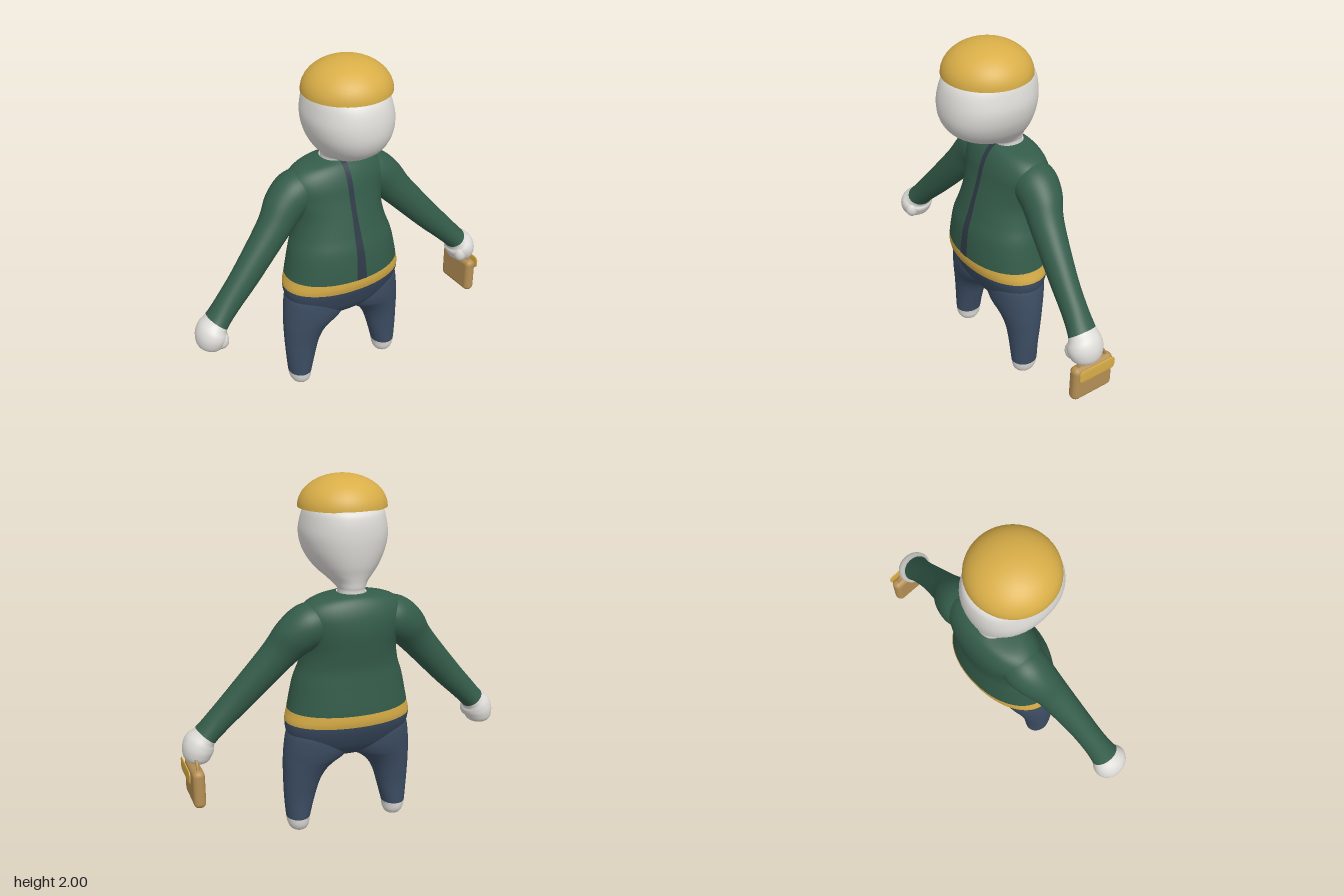
import * as THREE from 'three';
import { RoundedBoxGeometry } from 'three/addons/geometries/RoundedBoxGeometry.js';

const paint = (name, color) => {
  const m = new THREE.MeshStandardMaterial({ color });
  m.name = name;
  return m;
};

// Smooth curve through rows of numbers; the last number of a row is its material index.
function smooth(rows, steps = 6) {
  const out = [];
  const at = i => rows[Math.min(Math.max(i, 0), rows.length - 1)];
  for (let i = 0; i < rows.length - 1; i++) {
    for (let s = 0; s < steps; s++) {
      const t = s / steps;
      out.push(rows[i].map((b, k) => {
        if (k === rows[i].length - 1) return b;
        const a = at(i - 1)[k], c = at(i + 1)[k], d = at(i + 2)[k];
        return b + 0.5 * t * (c - a + t * (2 * a - 5 * b + 4 * c - d + t * (3 * (b - c) + d - a)));
      }));
    }
  }
  out.push(rows[rows.length - 1]);
  return out;
}

// Skin over rings { c: centre, u, v: half axes, m: material index }.
function loft(name, rings, materials, power = 2, sides = 48) {
  const pos = [], index = [], geo = new THREE.BufferGeometry();
  const bend = x => Math.sign(x) * Math.abs(x) ** (2 / power);
  rings.forEach(({ c, u, v, m }, i) => {
    const start = index.length;
    for (let j = 0; j < sides; j++) {
      const t = (j / sides) * Math.PI * 2;
      const p = c.clone().addScaledVector(u, bend(Math.cos(t))).addScaledVector(v, bend(Math.sin(t)));
      pos.push(p.x, p.y, p.z);
      if (i === rings.length - 1) continue;
      const a = i * sides + j, b = i * sides + (j + 1) % sides;
      index.push(a, a + sides, b, b, a + sides, b + sides);
    }
    if (index.length > start) geo.addGroup(start, index.length - start, m);
  });
  geo.setAttribute('position', new THREE.Float32BufferAttribute(pos, 3));
  geo.setIndex(index);
  geo.computeVertexNormals();
  const mesh = new THREE.Mesh(geo, materials);
  mesh.name = name;
  return mesh;
}

// Level ring from height, x range and z range.
const level = (y, x0, x1, front, back, m) => ({
  c: new THREE.Vector3((x0 + x1) / 2, y, (front + back) / 2),
  u: new THREE.Vector3((x1 - x0) / 2, 0, 0),
  v: new THREE.Vector3(0, 0, (front - back) / 2), m,
});

export function createModel() {
  const model = new THREE.Group();
  model.name = 'figure';
  const skin = paint('pale skin', 0xdedcd8);
  const green = paint('green jacket', 0x345c4a);
  const blue = paint('blue trousers', 0x3c4d63);
  const gold = paint('gold', 0xd9ae48);
  const slate = paint('dark slate', 0x2f3a46);
  const tan = paint('tan leather', 0xb58f54);
  const add = (name, geo, mat, parent = model) => {
    const mesh = new THREE.Mesh(geo, mat);
    mesh.name = name;
    parent.add(mesh);
    return mesh;
  };

  // Torso: height, half width, front, back, material
  const torso = smooth([
    [0.435, 0.1, -0.02, -0.07, 0], [0.465, 0.2, 0.05, -0.13, 0], [0.52, 0.3, 0.1, -0.19, 0],
    [0.6, 0.348, 0.14, -0.24, 0], [0.675, 0.36, 0.17, -0.272, 1], [0.745, 0.345, 0.18, -0.28, 2],
    [0.9, 0.313, 0.165, -0.27, 2], [1.0, 0.28, 0.135, -0.265, 2], [1.1, 0.265, 0.105, -0.275, 2],
    [1.2, 0.285, 0.075, -0.285, 2], [1.28, 0.3, 0.055, -0.28, 2], [1.34, 0.27, 0.03, -0.262, 2],
    [1.38, 0.2, 0, -0.235, 2], [1.4, 0.08, -0.03, -0.2, 2],
  ]);
  model.add(loft('torso', torso.map(([y, r, f, b, m]) => level(y, -r, r, f, b, m)), [blue, gold, green], 2.1));

  // Front placket, a thin strip laid on the jacket and widening downwards
  const strip = [], faces = [];
  torso.filter(r => r[0] > 0.744).forEach(([y, , front], i) => {
    const w = 0.016 + 0.016 * Math.max(0, (1.1 - y) / 0.36);
    strip.push(-w, y + 0.003, front + 0.004, w, y + 0.003, front + 0.004);
    if (i) faces.push(2 * i - 2, 2 * i - 1, 2 * i, 2 * i, 2 * i - 1, 2 * i + 1);
  });
  const placket = new THREE.BufferGeometry();
  placket.setAttribute('position', new THREE.Float32BufferAttribute(strip, 3));
  placket.setIndex(faces);
  placket.computeVertexNormals();
  add('placket', placket, slate);

  // Head and neck: height, half width, front, back
  const head = smooth([
    [1.36, 0.075, -0.035, -0.195, 0], [1.41, 0.072, -0.03, -0.195, 0], [1.43, 0.08, 0.01, -0.2, 0],
    [1.46, 0.105, 0.11, -0.205, 0], [1.5, 0.147, 0.19, -0.215, 0], [1.55, 0.185, 0.25, -0.23, 0],
    [1.62, 0.218, 0.283, -0.243, 0], [1.7, 0.231, 0.287, -0.25, 0], [1.78, 0.218, 0.27, -0.245, 0],
    [1.83, 0.2, 0.24, -0.225, 0], [1.86, 0.175, 0.19, -0.165, 0], [1.9, 0.12, 0.13, -0.1, 0],
    [1.92, 0.004, 0.024, 0.016, 0],
  ]);
  model.add(loft('head', head.map(([y, r, f, b, m]) => level(y, -r, r, f, b, m)), [skin], 2.2));

  // Domed cap with a flat underside
  const dome = [new THREE.Vector2(0, 0)];
  for (let i = 0; i <= 16; i++) {
    const a = (i / 16) * Math.PI / 2;
    dome.push(new THREE.Vector2(0.24 * Math.cos(a), 0.17 * Math.sin(a)));
  }
  dome.splice(1, 0, new THREE.Vector2(0.2395, 0));
  add('cap', new THREE.LatheGeometry(dome, 48), gold).position.set(0, 1.83, 0.02);

  // Leg: height, inner x, outer x, front, back, material
  const leg = smooth([
    [0, 0.288, 0.292, -0.035, -0.04, 0], [0.006, 0.252, 0.328, 0.005, -0.08, 0], [0.035, 0.233, 0.35, 0.03, -0.105, 0],
    [0.085, 0.225, 0.36, 0.04, -0.115, 1], [0.2, 0.195, 0.37, 0.045, -0.12, 1], [0.3, 0.165, 0.374, 0.053, -0.135, 1],
    [0.37, 0.125, 0.375, 0.065, -0.15, 1], [0.42, 0.07, 0.375, 0.078, -0.165, 1], [0.46, 0.01, 0.373, 0.09, -0.18, 1],
    [0.52, -0.02, 0.368, 0.1, -0.195, 1], [0.6, 0, 0.355, 0.1, -0.2, 1], [0.66, 0.03, 0.33, 0.08, -0.18, 1],
  ]);
  // Arm and hand: x, y, z, half thickness, half depth, material
  const arm = smooth([
    [0.16, 1.265, -0.12, 0.1, 0.11, 0], [0.24, 1.235, -0.12, 0.122, 0.125, 0], [0.32, 1.175, -0.11, 0.115, 0.115, 0],
    [0.41, 1.07, -0.08, 0.095, 0.093, 0], [0.6, 0.86, -0.045, 0.08, 0.075, 0], [0.72, 0.735, -0.03, 0.07, 0.072, 0],
    [0.8, 0.65, -0.02, 0.066, 0.082, 1], [0.83, 0.61, -0.012, 0.083, 0.1, 1], [0.845, 0.565, -0.012, 0.083, 0.1, 1],
    [0.85, 0.515, -0.015, 0.062, 0.075, 1], [0.852, 0.488, -0.015, 0.003, 0.003, 1],
  ]);
  for (const [side, s] of [['left', 1], ['right', -1]]) {
    const legRings = leg.map(([y, a, b, f, k, m]) => level(y, s > 0 ? a : -b, s > 0 ? b : -a, f, k, m));
    model.add(loft(side + 'Leg', legRings, [skin, blue]));
    const armRings = arm.map(([x, y, z, r, depth, m], i) => {
      const p = arm[Math.max(i - 1, 0)], q = arm[Math.min(i + 1, arm.length - 1)];
      const d = new THREE.Vector2(s * (q[0] - p[0]), q[1] - p[1]).normalize();
      return {
        c: new THREE.Vector3(s * x, y, z),
        u: new THREE.Vector3(d.y * r, -d.x * r, 0),
        v: new THREE.Vector3(0, 0, depth), m,
      };
    });
    model.add(loft(side + 'Arm', armRings, [green, skin]));
    const thumb = add(side + 'Thumb', new THREE.SphereGeometry(0.04, 20, 14), skin);
    thumb.position.set(s * 0.807, 0.565, 0.045);
    thumb.scale.set(1, 1.3, 1);
  }

  // Small handbag hanging from the left hand
  const bag = new THREE.Group();
  bag.name = 'handbag';
  bag.position.set(0.871, 0.392, -0.037);
  model.add(bag);
  add('bagBody', new RoundedBoxGeometry(0.066, 0.215, 0.26, 5, 0.03), tan, bag);
  const flap = add('bagFlap', new RoundedBoxGeometry(0.1, 0.075, 0.235, 5, 0.025), gold, bag);
  flap.scale.x = 0.09;
  flap.position.set(0.049, 0.075, 0);
  const grip = new THREE.CatmullRomCurve3([[0.1, 0.08], [0.07, 0.145], [0, 0.165], [-0.07, 0.145], [-0.1, 0.08]]
    .map(([z, y]) => new THREE.Vector3(0, y, z)));
  add('bagHandle', new THREE.TubeGeometry(grip, 24, 0.009, 8), tan, bag);
  return model;
}
